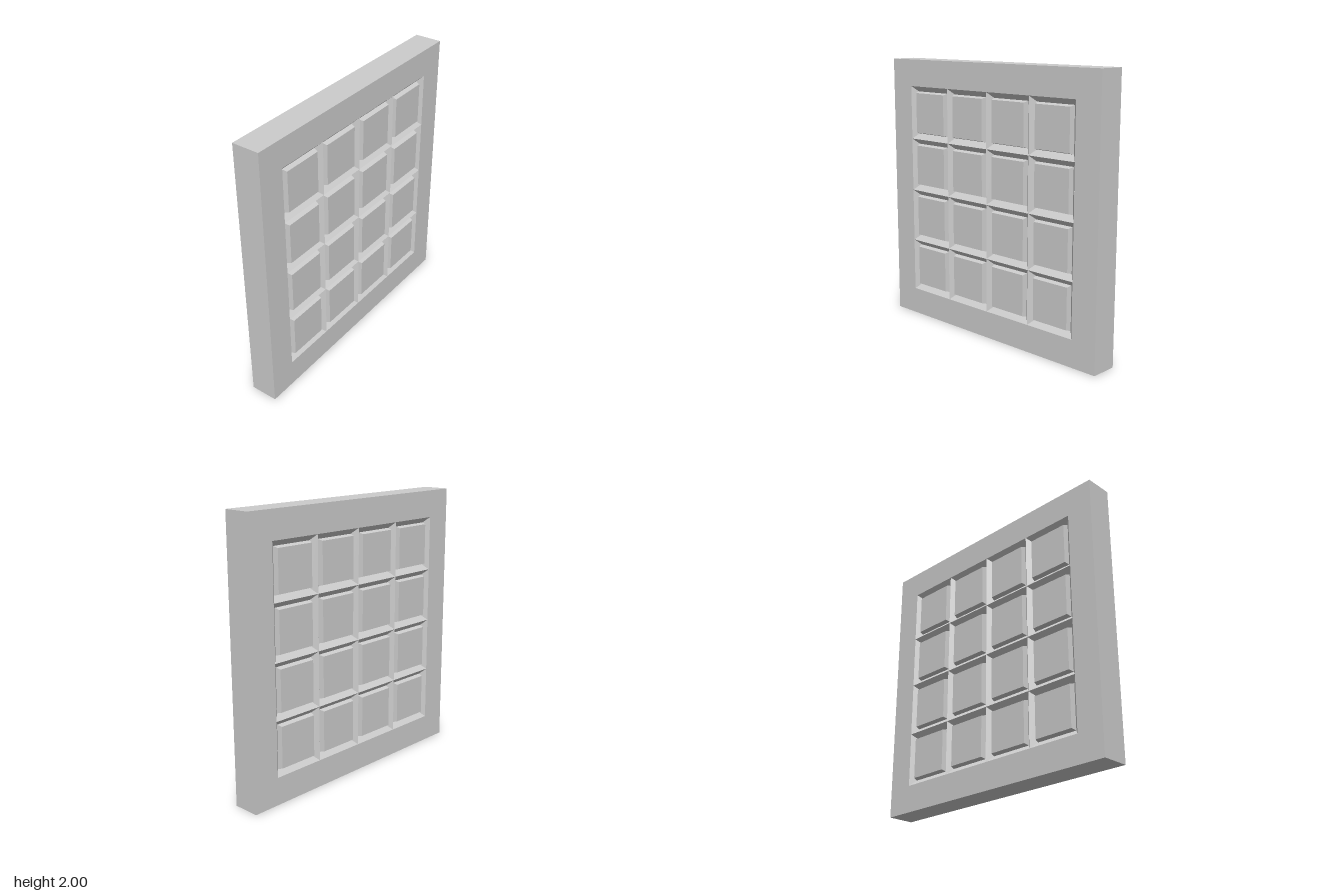
import * as THREE from 'three';

const THICK = 0.2;   // slab thickness along x
const CELL = 0.4;    // pitch of the coffers
const COUNT = 4;     // coffers per row and column

// Square outline centred on the origin
function square(Type, half) {
  const s = new Type();
  s.moveTo(-half, -half);
  s.lineTo(half, -half);
  s.lineTo(half, half);
  s.lineTo(-half, half);
  s.closePath();
  return s;
}

export function createModel() {
  const group = new THREE.Group();
  group.name = 'coffered panel';
  const material = new THREE.MeshStandardMaterial({ color: 0xcccccc, flatShading: true });

  // Surrounding frame with a square opening
  const outline = square(THREE.Shape, 1);
  outline.holes.push(square(THREE.Path, CELL * COUNT / 2));
  const frameGeometry = new THREE.ExtrudeGeometry(outline, { depth: THICK, bevelEnabled: false });
  frameGeometry.translate(0, 0, -THICK / 2).rotateY(Math.PI / 2).translate(0, 1, 0);
  const frame = new THREE.Mesh(frameGeometry, material);
  frame.name = 'frame';
  group.add(frame);

  // Coffer: sloped border down to a groove, then a steep-edged raised pane
  const profile = [[0.2, 0], [0.16, -0.04], [0.15, -0.005], [0, -0.005]]
    .map(([half, h]) => new THREE.Vector2(half * Math.SQRT2, h));
  const cofferGeometry = new THREE.LatheGeometry(profile, 4, Math.PI / 4);
  cofferGeometry.rotateZ(-Math.PI / 2);

  // Grid of coffers on both faces
  for (const side of [1, -1]) {
    const face = new THREE.Group();
    face.name = side > 0 ? 'leftCoffers' : 'rightCoffers';
    for (let row = 0; row < COUNT; row++) {
      for (let col = 0; col < COUNT; col++) {
        const coffer = new THREE.Mesh(cofferGeometry, material);
        coffer.name = 'coffer';
        coffer.position.set(THICK / 2, 1 + (row - 1.5) * CELL, (col - 1.5) * CELL);
        face.add(coffer);
      }
    }
    face.rotation.y = side > 0 ? 0 : Math.PI;
    group.add(face);
  }
  return group;
}
